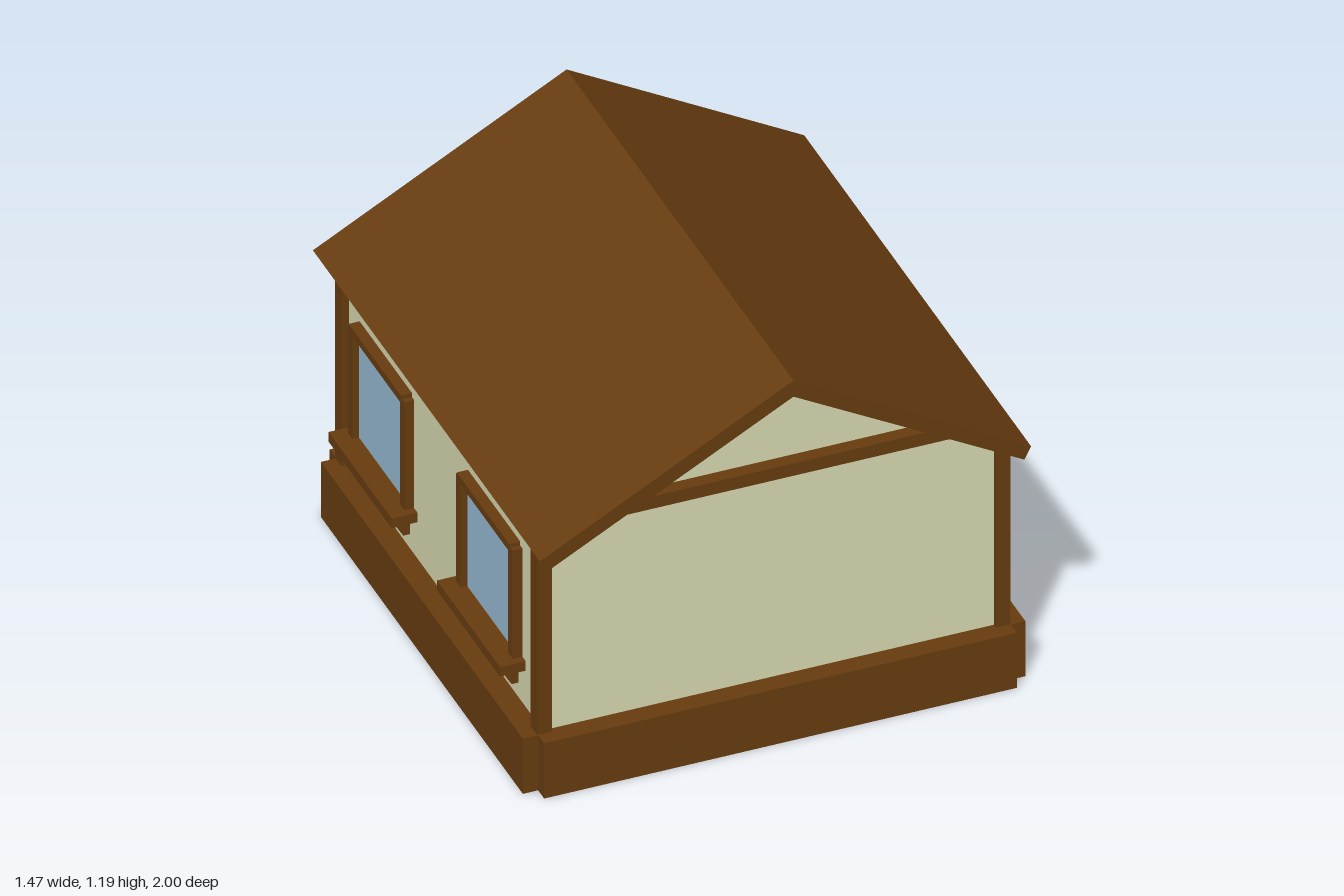
import * as THREE from 'three';

export function createModel() {
  const model = new THREE.Group();
  model.name = 'cottage';
  const mat = (name, color) => {
    const m = new THREE.MeshStandardMaterial({ color });
    m.name = name;
    return m;
  };
  const wood = mat('brown wood', 0x693d0f);
  const plaster = mat('cream plaster', 0xdcddb3);
  const glass = mat('pale blue glass', 0x98bed6);

  const add = (name, geometry, material, parent = model) => {
    const mesh = new THREE.Mesh(geometry, material);
    mesh.name = name;
    parent.add(mesh);
    return mesh;
  };
  // Box given by its minimum and maximum on each axis
  const box = (name, x0, x1, y0, y1, z0, z1, material = wood, parent = model) => {
    const mesh = add(name, new THREE.BoxGeometry(x1 - x0, y1 - y0, z1 - z0), material, parent);
    mesh.position.set((x0 + x1) / 2, (y0 + y1) / 2, (z0 + z1) / 2);
    return mesh;
  };
  // Outline in x, y drawn out from z0 to z1
  const prism = (points, z0, z1) => {
    const shape = new THREE.Shape(points.map(([x, y]) => new THREE.Vector2(x, y)));
    return new THREE.ExtrudeGeometry(shape, { depth: z1 - z0, bevelEnabled: false }).translate(0, 0, z0);
  };
  // Outline in z, y drawn out from x0 to x1
  const sidePrism = (points, x0, x1) =>
    prism(points.map(([z, y]) => [-z, y]), x0, x1).rotateY(Math.PI / 2);

  // Plinth with notched corners
  box('plinthLong', -0.68, 0.68, 0, 0.178, -0.535, 0.958);
  box('plinthLeft', 0.68, 0.722, 0, 0.178, -0.49, 0.916);
  box('plinthRight', -0.724, -0.68, 0, 0.178, -0.49, 0.916);

  // Walls with gables
  add('walls', prism([[-0.66, 0.17], [0.66, 0.17], [0.66, 0.785], [0.02, 1.15], [-0.66, 0.785]], -0.475, 0.9), plaster);

  // Corner posts
  for (const [x0, x1] of [[-0.682, -0.64], [0.638, 0.68]]) {
    box('cornerPost', x0, x1, 0.17, 0.785, 0.868, 0.916);
    box('cornerPost', x0, x1, 0.17, 0.785, -0.493, -0.45);
  }

  // Roof slabs meeting at the ridge
  add('roofRight', prism([[0.02, 1.14], [0.02, 1.192], [-0.71, 0.8], [-0.688, 0.762]], -0.58, 1), wood);
  add('roofLeft', prism([[0.02, 1.14], [0.685, 0.762], [0.704, 0.8], [0.02, 1.192]], -0.58, 1), wood);

  // Tie beams across both gables
  const beam = [[-0.56, 0.84], [0.56, 0.84], [0.49, 0.88], [-0.48, 0.88]];
  add('frontTieBeam', prism(beam, 0.89, 0.94), wood);
  add('backTieBeam', prism(beam, -0.515, -0.465), wood);

  // Windows, built facing +x and turned round for the other side
  const makeWindow = (side, z) => {
    const g = new THREE.Group();
    g.name = 'window';
    box('pane', 0.66, 0.669, 0.32, 0.67, -0.17, 0.17, glass, g);
    for (const s of [-1, 1]) {
      box('windowJamb', 0.655, 0.688, 0.32, 0.675, s * 0.181 - 0.016, s * 0.181 + 0.016, wood, g);
    }
    box('windowHead', 0.655, 0.692, 0.664, 0.688, -0.182, 0.182, wood, g);
    box('windowSill', 0.655, 0.734, 0.295, 0.326, -0.22, 0.22, wood, g);
    add('sillBracket', prism([[0.655, 0.225], [0.68, 0.225], [0.722, 0.296], [0.655, 0.296]], -0.17, 0.17), wood, g);
    g.position.z = z;
    if (side < 0) g.rotation.y = Math.PI;
    model.add(g);
  };
  for (const side of [-1, 1]) for (const z of [0.561, -0.193]) makeWindow(side, z);

  // Back door with frame and knob
  box('doorPanel', -0.115, 0.115, 0.178, 0.53, -0.49, -0.47);
  for (const s of [-1, 1]) {
    box('doorJamb', s * 0.125 - 0.012, s * 0.125 + 0.012, 0.178, 0.55, -0.515, -0.47);
  }
  box('doorHead', -0.115, 0.115, 0.525, 0.55, -0.515, -0.47);
  const stem = add('knobStem', new THREE.CylinderGeometry(0.01, 0.01, 0.04, 12).rotateX(Math.PI / 2), glass);
  stem.position.set(-0.075, 0.36, -0.505);
  add('doorKnob', new THREE.SphereGeometry(0.021, 16, 12), glass).position.set(-0.075, 0.36, -0.528);

  // Back stairs between sloping cheeks
  const ramp = [[-0.53, 0], [-0.53, 0.176], [-1, 0]];
  add('stairCheek', sidePrism(ramp, 0.178, 0.303), wood);
  add('stairCheek', sidePrism(ramp, -0.305, -0.18), wood);
  for (let i = 0; i < 5; i++) {
    const z = -0.958 + i * 0.0845;
    box('stairStep', -0.18, 0.178, 0, 0.016 + i * 0.032, z, Math.min(z + 0.0845, -0.53));
  }
  return model;
}
